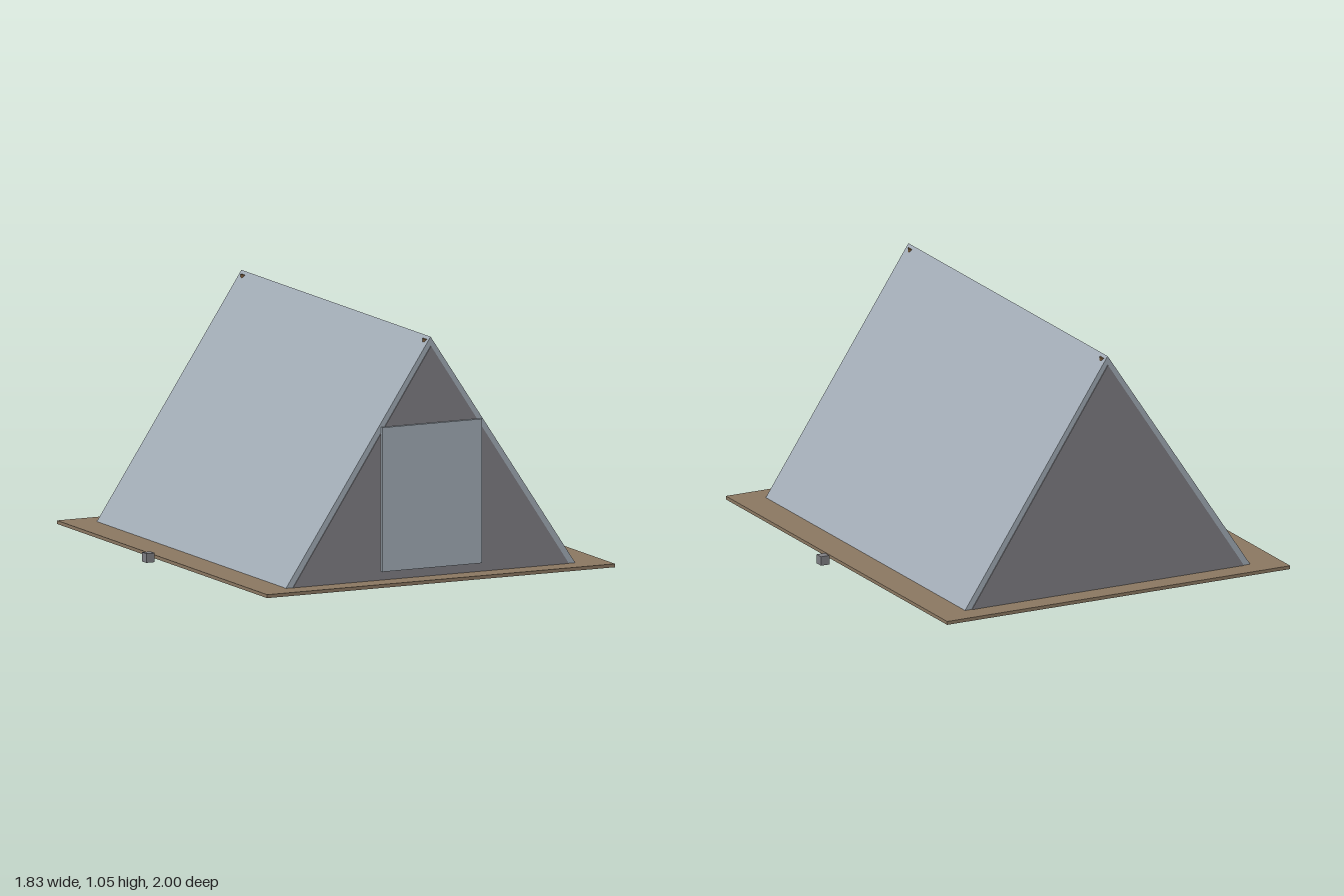
import * as THREE from 'three';

const mat = (name, color) => {
  const m = new THREE.MeshStandardMaterial({ color });
  m.name = name;
  return m;
};

export function createModel() {
  const model = new THREE.Group();
  model.name = 'tent';
  const canvas = mat('pale canvas', 0xa1abb5);
  const endCloth = mat('grey end cloth', 0x7f7e83);
  const ground = mat('brown groundsheet', 0x8a7761);
  const wood = mat('pole wood', 0x6b5236);
  const steel = mat('peg grey', 0x7d7d82);

  const add = (name, geometry, material, x = 0, y = 0, z = 0) => {
    const mesh = new THREE.Mesh(geometry, material);
    mesh.name = name;
    mesh.position.set(x, y, z);
    model.add(mesh);
  };
  // Solid with the given x-y outline, starting at z = 0
  const prism = (points, depth) => new THREE.ExtrudeGeometry(
    new THREE.Shape(points.map(([x, y]) => new THREE.Vector2(x, y))),
    { depth, bevelEnabled: false });

  const floor = 0.015, apex = 1.05, innerApex = 1.005;

  add('groundsheet', new THREE.BoxGeometry(1.66, floor, 2), ground, 0, floor / 2, 0);

  // Two sloping panels that meet at the ridge
  for (const s of [1, -1]) {
    const outline = [[0, innerApex], [s * 0.658, floor], [s * 0.69, floor], [0, apex]];
    add(s > 0 ? 'leftRoofPanel' : 'rightRoofPanel', prism(outline, 1.8), canvas, 0, 0, -0.9);
  }

  // Triangular end walls, standing just proud of the roof edges
  const triangle = [[-0.658, floor], [0.658, floor], [0, innerApex + 0.005]];
  add('frontWall', prism(triangle, 0.015), endCloth, 0, 0, 0.889);
  add('backWall', prism(triangle, 0.015), endCloth, 0, 0, -0.904);

  add('doorFlap', new THREE.BoxGeometry(0.475, 0.625, 0.017), canvas, 0, 0.365, 0.908);

  // Upright poles whose tips just pierce the ridge
  for (const z of [0.865, -0.865]) {
    add(z > 0 ? 'frontPole' : 'backPole',
      new THREE.CylinderGeometry(0.019, 0.019, 1.022, 12), wood, 0, floor + 0.511, z);
  }

  // Ground pegs at either side
  for (const s of [1, -1]) {
    add(s > 0 ? 'leftPeg' : 'rightPeg', new THREE.BoxGeometry(0.04, 0.04, 0.04), steel, s * 0.895, 0.022, 0);
  }
  return model;
}
